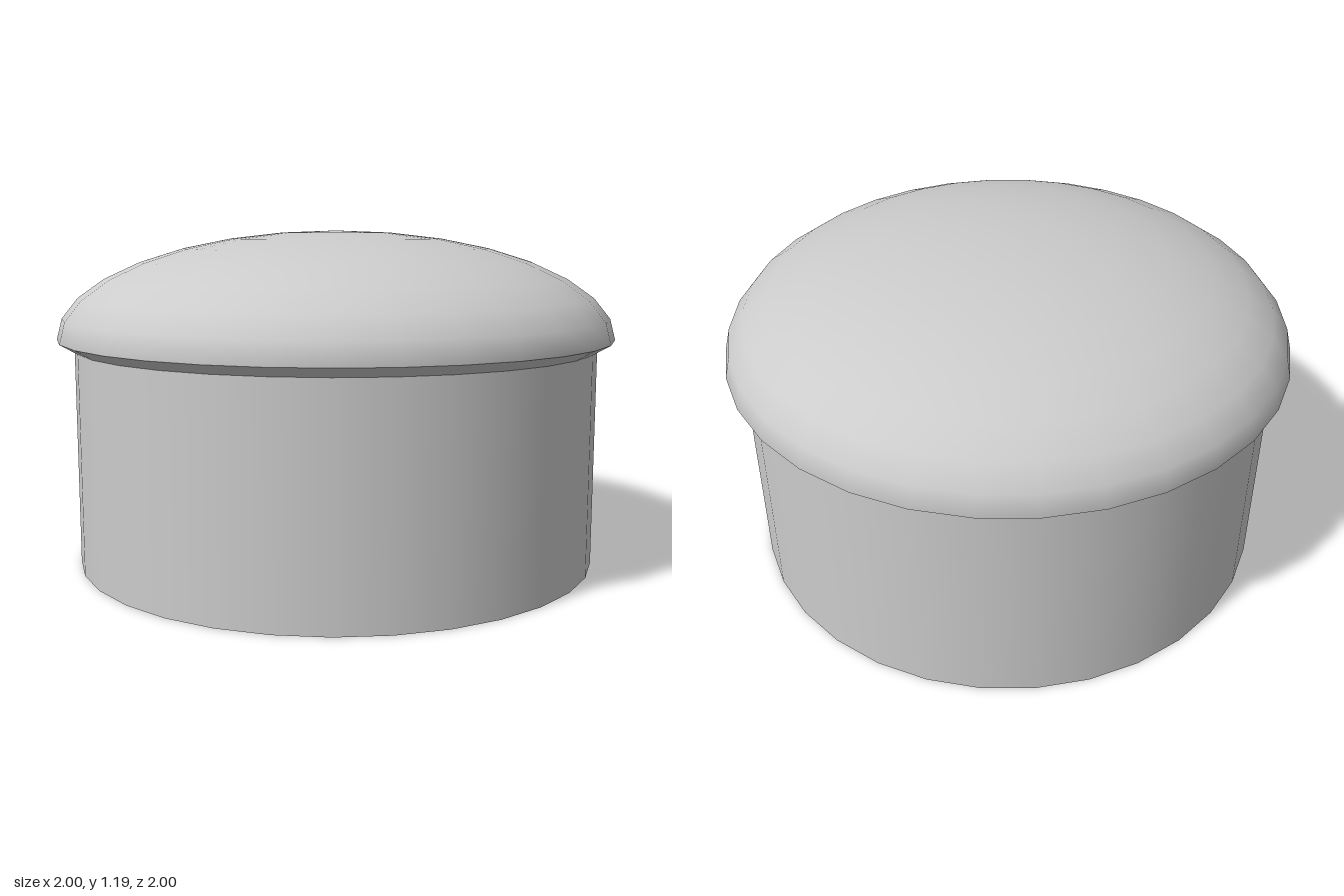
import * as THREE from 'three';

const SIDES = 32;
const RIM_Y = 0.81, NECK_Y = 0.775, BODY_R = 0.94, DOME_H = 0.38;

export function createModel() {
  const group = new THREE.Group();
  const material = new THREE.MeshStandardMaterial({ color: 0xcccccc });
  const add = (name, geometry, y) => {
    const mesh = new THREE.Mesh(geometry, material);
    mesh.name = name;
    mesh.position.y = y;
    group.add(mesh);
  };

  // straight drum with a closed base
  add('body', new THREE.CylinderGeometry(BODY_R, BODY_R, NECK_Y, SIDES), NECK_Y / 2);

  // bevelled underside of the overhanging cap
  add('capRim', new THREE.CylinderGeometry(1, BODY_R, RIM_Y - NECK_Y, SIDES, 1, true), (RIM_Y + NECK_Y) / 2);

  // flattened half-sphere cap
  const dome = new THREE.SphereGeometry(1, SIDES, 8, 0, Math.PI * 2, 0, Math.PI / 2);
  dome.scale(1, DOME_H, 1);
  add('capDome', dome, RIM_Y);

  return group;
}
